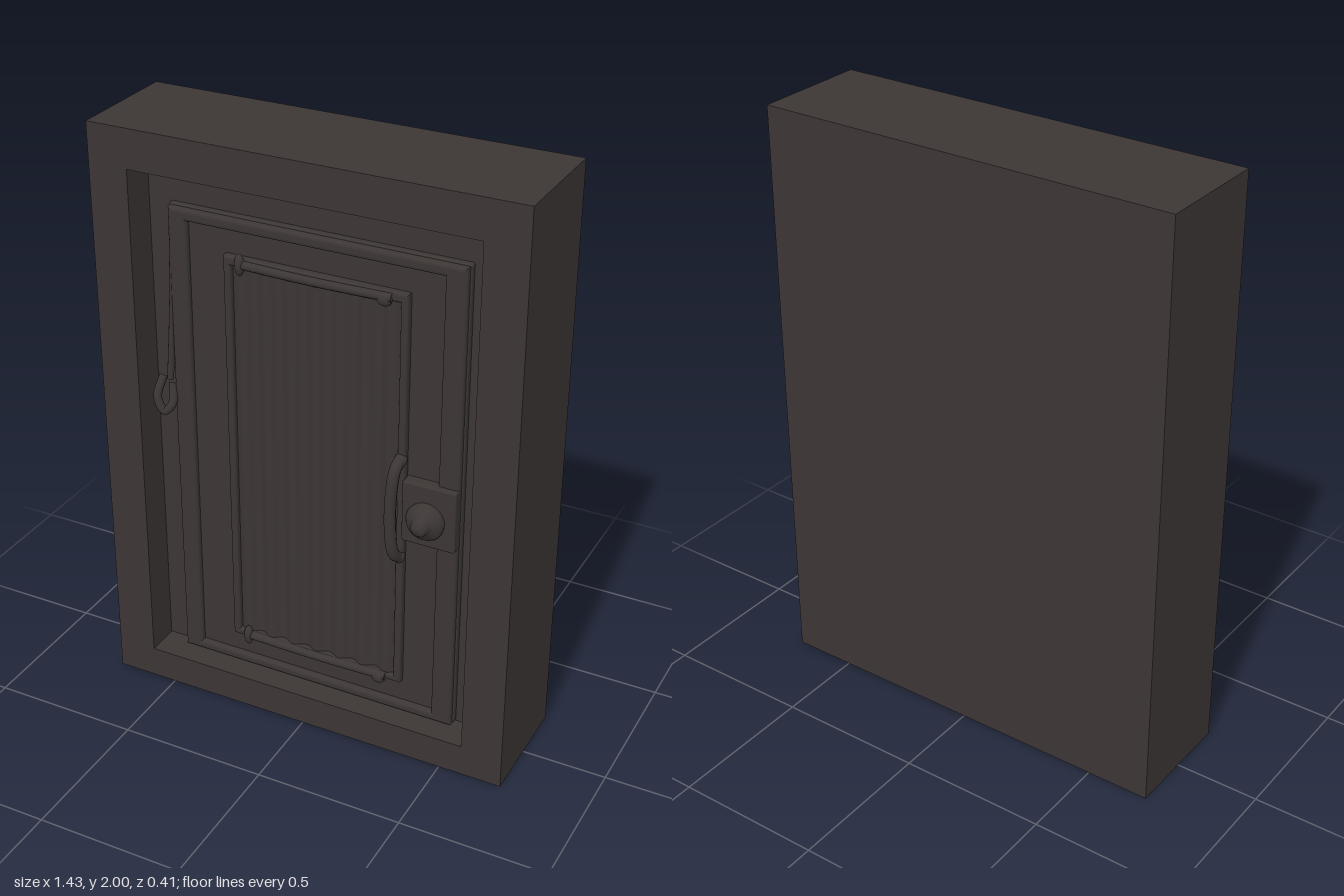
import * as THREE from 'three';
import { RoundedBoxGeometry } from 'three/addons/geometries/RoundedBoxGeometry.js';

export function createModel() {
  const group = new THREE.Group();
  const iron = new THREE.MeshStandardMaterial({ color: 0x3c3635 });
  iron.name = 'dark iron';

  const add = (name, geometry, x = 0, y = 0, z = 0) => {
    const mesh = new THREE.Mesh(geometry, iron);
    mesh.name = name;
    mesh.position.set(x, y, z);
    group.add(mesh);
    return mesh;
  };
  const rect = (Type, x0, x1, y0, y1) => {
    const p = new Type();
    p.moveTo(x0, y0);
    p.lineTo(x1, y0);
    p.lineTo(x1, y1);
    p.lineTo(x0, y1);
    p.closePath();
    return p;
  };
  // Rectangular ring from z0 to z1 with an optional chamfer of size b
  const ring = (name, outer, inner, z0, z1, b = 0) => {
    const shape = rect(THREE.Shape, outer[0] + b, outer[1] - b, outer[2] + b, outer[3] - b);
    shape.holes.push(rect(THREE.Path, inner[0] - b, inner[1] + b, inner[2] - b, inner[3] + b));
    const geometry = new THREE.ExtrudeGeometry(shape, {
      depth: z1 - z0 - b, bevelEnabled: b > 0, bevelSize: b, bevelThickness: b, bevelSegments: 3,
    });
    return add(name, geometry, 0, 0, z0);
  };
  const block = (name, x0, x1, y0, y1, z0, z1, r = 0.006) =>
    add(name, new RoundedBoxGeometry(x1 - x0, y1 - y0, z1 - z0, 3, r),
      (x0 + x1) / 2, (y0 + y1) / 2, (z0 + z1) / 2);
  const tube = (name, points, r) =>
    add(name, new THREE.TubeGeometry(
      new THREE.CatmullRomCurve3(points.map((p) => new THREE.Vector3(...p))), 32, r, 10));
  const ball = (name, x, y, z, sx, sy, sz) =>
    add(name, new THREE.SphereGeometry(1, 16, 12), x, y, z).scale.set(sx, sy, sz);

  // Deep casing and the closed wall behind the door
  ring('casing', [-0.715, 0.715, 0, 2], [-0.58, 0.575, 0.11, 1.87], -0.2, 0.197);
  add('backWall', new THREE.BoxGeometry(1.157, 1.762, 0.28), -0.0025, 0.99, -0.06);

  // Stepped door leaf
  block('doorLeaf', -0.5, 0.505, 0.112, 1.745, 0.06, 0.1);
  ring('doorMoulding', [-0.495, 0.5, 0.11, 1.74], [-0.43, 0.43, 0.145, 1.7], 0.08, 0.12, 0.012);
  ring('panelBorder', [-0.3, 0.32, 0.225, 1.62], [-0.275, 0.295, 0.25, 1.59], 0.08, 0.125, 0.008);

  // Corrugated centre panel
  const sheet = new THREE.PlaneGeometry(0.59, 1.36, 84, 1);
  const pos = sheet.attributes.position;
  for (let i = 0; i < pos.count; i++) {
    pos.setZ(i, 0.009 * Math.cos((pos.getX(i) / 0.59) * Math.PI * 14));
  }
  sheet.computeVertexNormals();
  add('corrugatedPanel', sheet, 0.01, 0.92, 0.112);

  // Rods across the panel ends, with end knobs
  for (const y of [0.238, 1.602]) {
    tube('panelRod', [[-0.25, y, 0.125], [0, y - 0.004, 0.125], [0.27, y, 0.125]], 0.015);
    ball('rodStop', -0.24, y, 0.128, 0.016, 0.036, 0.016);
    ball('rodTip', 0.245, y - 0.008, 0.128, 0.025, 0.022, 0.016);
  }

  // Hinge rod and latch on the left edge
  tube('hingeRod', [[-0.485, 1.72, 0.105], [-0.495, 1.45, 0.105], [-0.515, 1.14, 0.11]], 0.011);
  tube('latchHook', [[-0.54, 1.15, 0.11], [-0.548, 1.08, 0.14],
    [-0.525, 1.035, 0.14], [-0.5, 1.06, 0.13], [-0.505, 1.13, 0.11]], 0.014);

  // Pull handle
  tube('pullHandle', [[0.305, 1.07, 0.115], [0.3, 1.04, 0.15], [0.293, 0.89, 0.165],
    [0.3, 0.74, 0.15], [0.305, 0.71, 0.115]], 0.019);
  ball('handleFoot', 0.306, 1.065, 0.12, 0.02, 0.022, 0.02);
  ball('handleFoot', 0.306, 0.715, 0.12, 0.02, 0.022, 0.02);

  // Lock plate with a turned knob
  block('lockPlate', 0.32, 0.5, 0.79, 1.005, 0.08, 0.14);
  const knob = [[0.062, 0], [0.064, 0.015], [0.055, 0.03], [0.034, 0.038],
    [0.028, 0.05], [0.027, 0.06], [0.018, 0.07], [0, 0.073]];
  add('lockKnob', new THREE.LatheGeometry(knob.map((p) => new THREE.Vector2(...p)), 28),
    0.403, 0.885, 0.136).rotation.x = Math.PI / 2;

  return group;
}
